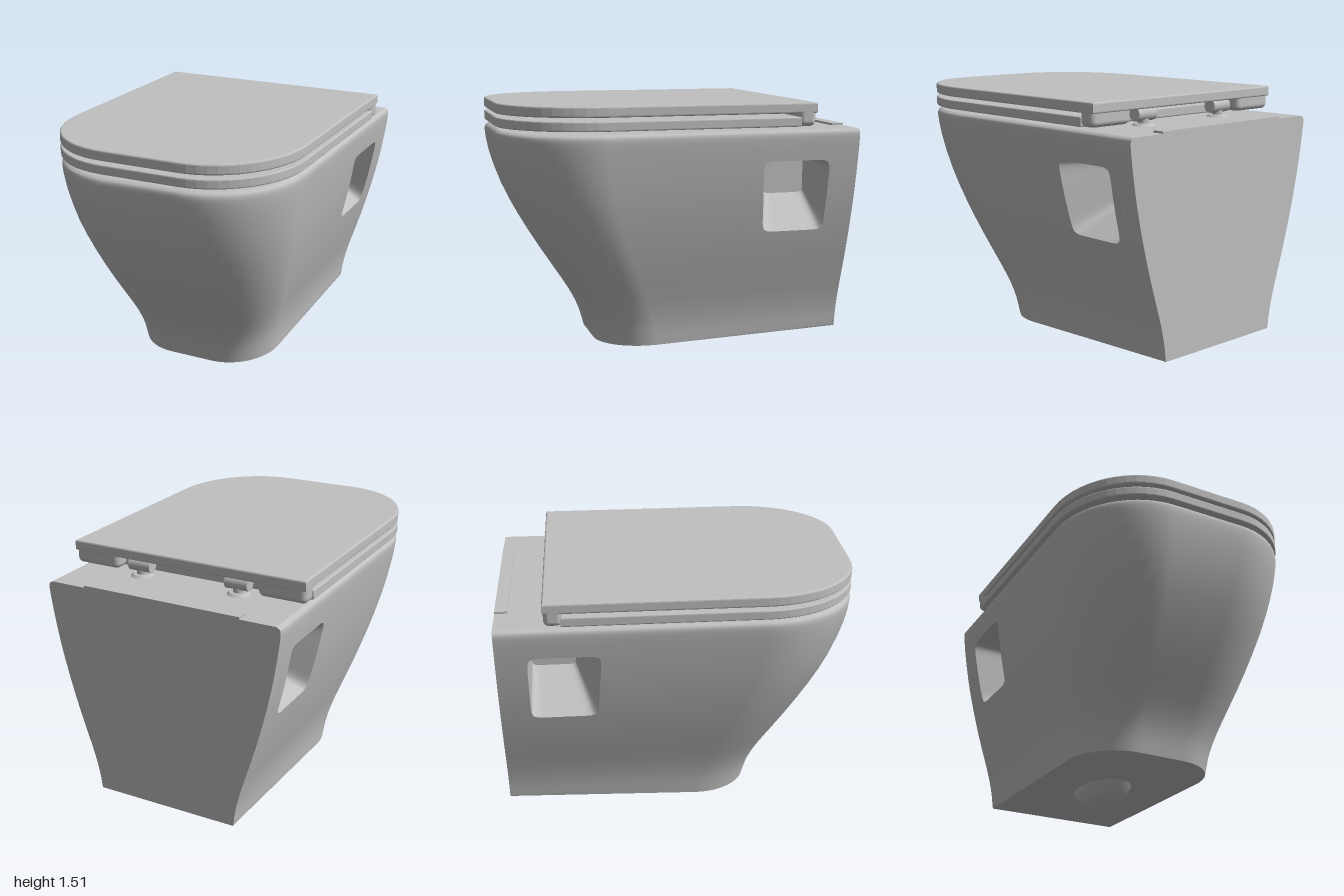
import * as THREE from 'three';
import { RoundedBoxGeometry } from 'three/addons/geometries/RoundedBoxGeometry.js';

const { lerp } = THREE.MathUtils;
const V = (x, y, z) => new THREE.Vector3(x, y, z);

// Surface through rows of points that all have the same length
function loft(rows, skip = () => false) {
  const n = rows[0].length, index = [];
  for (let r = 0; r < rows.length - 1; r++) {
    for (let c = 0; c < n - 1; c++) {
      if (skip(r, c)) continue;
      const a = r * n + c, d = a + n;
      index.push(a, d, a + 1, a + 1, d, d + 1);
    }
  }
  const g = new THREE.BufferGeometry().setFromPoints(rows.flat());
  g.setIndex(index);
  g.computeVertexNormals();
  return g;
}

// U-shaped outline as (x, z): straight sides, rounded front, open at the back
function outline(w, front, back, stops = []) {
  const rx = 0.68 * w, rz = 0.77 * w, half = [back, ...stops].map(z => [w, z]);
  for (let i = 0; i <= 14; i++) {
    const a = (i / 14) * Math.PI / 2;
    half.push([w - rx + rx * Math.cos(a), front - rz + rz * Math.sin(a)]);
  }
  return [...half, ...half.slice().reverse().map(([x, z]) => [-x, z])];
}

const flatShape = pts => new THREE.Shape(pts.map(([x, z]) => new THREE.Vector2(x, z)));

function ovalHole(rx, rz, zc) {
  return new THREE.Path().absellipse(0, zc, rx, rz, 0, Math.PI * 2, true);
}

// Horizontal plate with softened edges between two heights
function plate(shape, y0, y1, bevel) {
  const g = new THREE.ExtrudeGeometry(shape, {
    depth: y1 - y0 - 2 * bevel, bevelThickness: bevel, bevelSize: bevel,
    bevelOffset: -bevel, bevelSegments: 3, curveSegments: 40,
  });
  return g.rotateX(Math.PI / 2).translate(0, y1 - bevel, 0);
}

// Body profile: half width, height, front z
const profile = new THREE.CatmullRomCurve3([
  [0.425, 0.09, 0.43], [0.435, 0.2, 0.46], [0.455, 0.3, 0.505], [0.483, 0.4, 0.565],
  [0.547, 0.6, 0.695], [0.603, 0.8, 0.815], [0.65, 1, 0.915], [0.685, 1.2, 0.982],
  [0.698, 1.3, 0.999], [0.7, 1.335, 1], [0.694, 1.352, 0.993], [0.675, 1.362, 0.974],
].map(p => V(...p))).getPoints(120);

function section(y) {
  let i = profile.findIndex(p => p.y >= y);
  if (i < 0) i = profile.length - 1;
  if (i === 0) return profile[0];
  const a = profile[i - 1], b = profile[i];
  return a.clone().lerp(b, Math.min(1, (y - a.y) / (b.y - a.y)));
}

// Rounded rectangle in the unit square, matched by angle (power Infinity = sharp)
function squareLoop(power, place) {
  const pts = [];
  for (let i = 0; i <= 64; i++) {
    const a = (i / 64) * Math.PI * 2, c = Math.cos(a), s = Math.sin(a);
    const m = power === Infinity ? Math.max(Math.abs(c), Math.abs(s))
      : (Math.abs(c) ** power + Math.abs(s) ** power) ** (1 / power);
    pts.push(place((c / m + 1) / 2, (s / m + 1) / 2));
  }
  return pts;
}

export function createModel() {
  const model = new THREE.Group();
  model.name = 'wallHungToilet';
  const ceramic = new THREE.MeshStandardMaterial({ color: 0xc0c0c0, side: THREE.DoubleSide });
  ceramic.name = 'light grey ceramic';
  const add = (name, geometry, parent = model) => {
    const mesh = new THREE.Mesh(geometry, ceramic);
    mesh.name = name;
    parent.add(mesh);
    return mesh;
  };

  // Body shell, with a window left open on each side for the pockets
  const body = new THREE.Group();
  body.name = 'body';
  model.add(body);
  const ys = [0.09, 0.15, 0.2, 0.25, 0.3, 0.35, 0.4, 0.5, 0.6, 0.7, 0.8, 0.9, 1, 1.1, 1.2, 1.27,
    1.3, 1.32, 1.335, 1.345, 1.352, 1.358, 1.362];
  const baseY = z => 0.095 + 0.0315 * (0.43 - z);
  const rows = ys.map((y, r) => {
    const s = section(y);
    return outline(s.x, s.z, -1, [-0.9, -0.36])
      .map(([x, z]) => V(x, r === 0 ? baseY(z) : Math.max(y, baseY(z) + 0.005), z));
  });
  const n = rows[0].length;
  add('shell', loft(rows, (r, c) =>
    ys[r] >= 0.7 && ys[r + 1] <= 1.27 && (c === 1 || c === n - 3)), body);

  // Flat back, underside and rim top
  const side = ys.map((y, r) => [section(y).x, r === 0 ? 0.14 : Math.max(y, 0.145)]);
  const back = new THREE.ShapeGeometry(
    flatShape([...side, ...side.slice().reverse().map(([x, y]) => [-x, y])]));
  add('backFace', back.rotateY(Math.PI).translate(0, 0, -1), body);

  const under = new THREE.ShapeGeometry(flatShape(outline(0.425, 0.43, -1))).rotateX(Math.PI / 2);
  const up = under.attributes.position;
  for (let i = 0; i < up.count; i++) up.setY(i, baseY(up.getZ(i)));
  under.computeVertexNormals();
  add('underside', under, body);

  const rim = flatShape(outline(0.675, 0.974, -1).map(([x, z]) => [x, -z]));
  rim.holes.push(ovalHole(0.46, 0.6, -0.2));
  add('rimTop', new THREE.ShapeGeometry(rim, 24).rotateX(-Math.PI / 2).translate(0, 1.362, 0), body);
  add('rearLedge', new THREE.BoxGeometry(0.94, 0.014, 0.07).translate(0, 1.367, -0.965), body);

  // Bowl, whose rounded bottom shows below the body: height, x radius, centre z, z radius
  const bowl = [
    [0, 0.001, -0.285, 0.002], [0.006, 0.04, -0.285, 0.07], [0.025, 0.08, -0.285, 0.13],
    [0.06, 0.117, -0.285, 0.19], [0.12, 0.15, -0.285, 0.25], [0.3, 0.21, -0.22, 0.3],
    [0.6, 0.31, -0.05, 0.4], [1, 0.41, 0.12, 0.52], [1.3, 0.46, 0.2, 0.6], [1.362, 0.46, 0.2, 0.6],
  ].map(([y, rx, zc, rz]) => Array.from({ length: 49 }, (_, i) => {
    const a = (i / 48) * Math.PI * 2;
    return V(rx * Math.cos(a), y, zc + rz * Math.sin(a));
  }));
  add('bowl', loft(bowl), body);

  // Side pockets: wall around the opening, tapered sides and inner face
  for (const s of [1, -1]) {
    const wall = (z, y) => V(s * section(y).x, y, z);
    const outer = squareLoop(Infinity, (u, v) => wall(lerp(-0.9, -0.36, u), lerp(0.7, 1.27, v)));
    const mouth = squareLoop(11, (u, v) =>
      wall(lerp(-0.83, lerp(-0.46, -0.43, v), u), lerp(0.775, 1.19, v)));
    const inner = squareLoop(11, (u, v) => V(s * 0.3, lerp(0.95, 1.18, v), lerp(-0.825, -0.575, u)));
    const middle = outer.map((p, i) => wall((p.z + mouth[i].z) / 2, (p.y + mouth[i].y) / 2));
    const centre = inner.map(() => V(s * 0.3, 1.065, -0.7));
    const order = list => (s > 0 ? list : list.map(row => row.slice().reverse()));
    const name = s > 0 ? 'left' : 'right';
    add(name + 'PocketSurround', loft(order([outer, middle, mouth])), body);
    add(name + 'PocketSides', loft(order([mouth, inner])), body);
    add(name + 'PocketInnerFace', loft(order([inner, centre])), body);
  }

  // Seat ring and lid
  const seat = flatShape(outline(0.708, 1, -0.64));
  seat.holes.push(ovalHole(0.42, 0.56, 0.22));
  add('seat', plate(seat, 1.382, 1.436, 0.008));
  add('lid', plate(flatShape(outline(0.708, 1, -0.735)), 1.456, 1.515, 0.01));

  // Lid knuckles and hinges
  for (const s of [1, -1]) {
    const name = s > 0 ? 'left' : 'right';
    add(name + 'LidKnuckle', new RoundedBoxGeometry(0.278, 0.122, 0.1, 4, 0.03))
      .position.set(s * 0.569, 1.444, -0.68);
    const hinge = new THREE.Group();
    hinge.name = name + 'Hinge';
    hinge.position.set(s * 0.3, 0, -0.69);
    model.add(hinge);
    add('hingeBarrel', new THREE.CylinderGeometry(0.038, 0.038, 0.135, 24)
      .rotateZ(Math.PI / 2).translate(0, 1.425, 0), hinge);
    add('hingePost', new THREE.CylinderGeometry(0.03, 0.03, 0.06, 20).translate(0, 1.395, 0), hinge);
    add('hingeDisc', new THREE.CylinderGeometry(0.05, 0.065, 0.014, 28).translate(0, 1.368, 0), hinge);
  }
  return model;
}
